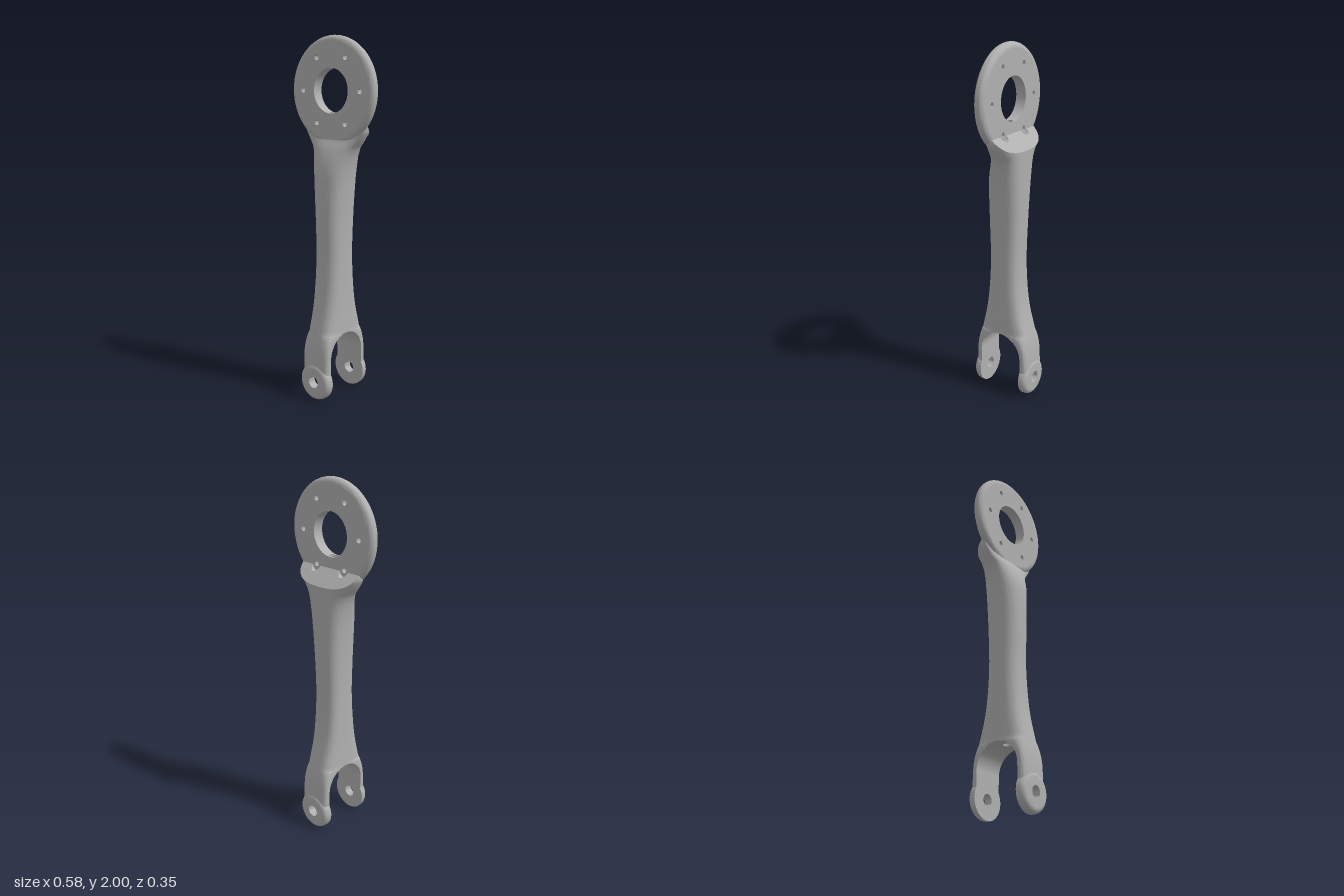
import * as THREE from 'three';
import { mergeGeometries, toCreasedNormals } from 'three/addons/utils/BufferGeometryUtils.js';

const V = (x, y) => new THREE.Vector2(x, y);
const BORE = 0.12, HUB_Y = 1.71, ARCH = 0.13, ARCH_Y = 0.245, FOOT = 0.15, TOP = 1.53;

// Arm profile: height, half width, front depth, back depth, squareness
const PROFILE = [
  [0.15, 0.09, 0.173, 0.173, 4], [0.2, 0.091, 0.171, 0.171, 4], [0.3, 0.093, 0.162, 0.162, 4],
  [0.4, 0.093, 0.142, 0.142, 3.6], [0.5, 0.09, 0.121, 0.117, 3.2], [0.6, 0.088, 0.107, 0.101, 3],
  [0.8, 0.085, 0.096, 0.091, 2.7], [1.0, 0.088, 0.1, 0.097, 2.6], [1.2, 0.1, 0.101, 0.105, 2.5],
  [1.3, 0.112, 0.094, 0.109, 2.4], [1.4, 0.138, 0.06, 0.112, 2.3], [1.45, 0.176, 0.03, 0.113, 2.3],
  [1.5, 0.206, 0.012, 0.113, 2.3], [1.53, 0.207, 0.006, 0.113, 2.3],
];
const curve = new THREE.CubicInterpolant(PROFILE.map(r => r[0]), PROFILE.flatMap(r => r.slice(1)), 4);
const section = y => Array.from(curve.evaluate(Math.min(TOP, Math.max(FOOT, y))));
const power = (v, n) => Math.sign(v) * Math.pow(Math.abs(v), 2 / n);

// Surface through f(i, j) -> [x, y, z]
function grid(nu, nv, f) {
  const pos = [], idx = [];
  for (let j = 0; j <= nv; j++) for (let i = 0; i <= nu; i++) pos.push(...f(i, j));
  for (let j = 0; j < nv; j++) for (let i = 0; i < nu; i++) {
    const a = j * (nu + 1) + i, c = a + nu + 1;
    idx.push(a, a + 1, c, a + 1, c + 1, c);
  }
  const g = new THREE.BufferGeometry();
  g.setAttribute('position', new THREE.Float32BufferAttribute(pos, 3));
  g.setIndex(idx);
  g.computeVertexNormals();
  return g;
}

// Half of the arm (s = 1 front, -1 back); below the arch it becomes a fork leg
function armHalf(s) {
  const levels = [FOOT, 0.2];
  for (let k = 0; k <= 14; k++) levels.push(ARCH_Y + ARCH * Math.sin(k / 14 * Math.PI / 2));
  for (let y = 0.4; y < 1.4; y += 0.04) levels.push(y);
  for (let k = 0; k <= 10; k++) levels.push(1.4 + k * 0.013);
  return grid(36, levels.length - 1, (i, j) => {
    const y = levels[j], [w, front, back, n] = section(y), a = i / 36 * Math.PI;
    const q = s > 0 ? n : n + 0.5, depth = s > 0 ? front : back;
    const rise = Math.max(0, y - ARCH_Y);
    const inner = Math.sqrt(Math.max(0, ARCH * ARCH - rise * rise));
    const z = s * (inner + (depth - inner) * power(Math.sin(a), q));
    return [-s * w * power(Math.cos(a), q), Math.min(y, TOP + 0.03 + z), z];
  });
}

// Curved strip with a round hole at its middle
function stripWithHole(map, half, r, ranges) {
  const parts = ranges.map(([u0, u1]) =>
    grid(1, 48, (i, j) => map(half * (2 * i - 1), u0 + (u1 - u0) * j / 48)));
  parts.push(grid(4, 32, (i, j) => {
    const a = j / 32 * Math.PI * 2, c = Math.cos(a), s = Math.sin(a);
    const d = r + (half / Math.max(Math.abs(c), Math.abs(s)) - r) * i / 4;
    return map(d * c, d * s);
  }));
  return mergeGeometries(parts);
}

// Inward-facing round wall between two heights
const wall = (r, lo, hi) => new THREE.LatheGeometry([V(r, hi), V(r, lo)], 24);

export function createModel() {
  const model = new THREE.Group();
  const metal = new THREE.MeshStandardMaterial({ color: 0xb0b0b0, side: THREE.DoubleSide });
  metal.name = 'grey metal';
  const add = (name, geo, parent = model, crease = 0.6) => {
    const mesh = new THREE.Mesh(toCreasedNormals(geo, crease), metal);
    mesh.name = name;
    parent.add(mesh);
    return mesh;
  };

  // Arm and fork legs
  add('arm', mergeGeometries([armHalf(1), armHalf(-1)]));

  // Inside of the fork, with the channel opening
  const quarter = ARCH * Math.PI / 2, end = quarter + ARCH_Y - FOOT;
  const archMap = (x, u) => {
    const t = Math.min(1, Math.abs(u) / quarter) * Math.PI / 2;
    const y = ARCH_Y + ARCH * Math.cos(t) - Math.max(0, Math.abs(u) - quarter);
    return [x * section(y)[0] / 0.093, y, Math.sign(u) * ARCH * Math.sin(t)];
  };
  add('forkInside', stripWithHole(archMap, 0.093, 0.024, [[-end, -0.093], [0.093, end]]));

  // Lengthwise channel through the arm
  add('channel', wall(0.024, 0.374, HUB_Y - BORE));

  // Rounded pivot bosses at the fork ends
  const bossProfile = [V(0.033, 0), V(0.105, 0), V(0.105, 0.019)];
  for (let k = 1; k <= 8; k++) {
    const a = k / 8 * Math.PI / 2;
    bossProfile.push(V(0.077 + 0.028 * Math.cos(a), 0.019 + 0.028 * Math.sin(a)));
  }
  bossProfile.push(V(0.033, 0.047), V(0.033, 0));
  for (const [name, turn] of [['frontBoss', 0], ['backBoss', Math.PI]]) {
    const side = new THREE.Group();
    side.rotation.y = turn;
    const boss = add(name, new THREE.LatheGeometry(bossProfile, 48).rotateX(Math.PI / 2), side);
    boss.position.set(0, 0.105, 0.13);
    model.add(side);
  }

  // Mounting flange
  const flange = new THREE.Group();
  flange.name = 'flange';
  flange.position.y = HUB_Y;
  model.add(flange);
  const face = new THREE.Shape().absarc(0, 0, 0.26, 0, Math.PI * 2);
  const cut = (x, y, r) => face.holes.push(new THREE.Path().absarc(x, y, r, 0, Math.PI * 2, true));
  cut(0, 0, BORE);
  for (let k = 0; k < 6; k++) {
    const x = 0.2 * Math.cos(k * Math.PI / 3), y = 0.2 * Math.sin(k * Math.PI / 3);
    cut(x, y, 0.014);
    add('boltHole', wall(0.014, -0.03, 0.03).rotateX(Math.PI / 2), flange).position.set(x, y, 0);
  }
  for (const s of [1, -1]) {
    const plate = add(s > 0 ? 'flangeFront' : 'flangeBack', new THREE.ShapeGeometry(face, 36), flange);
    plate.position.z = 0.03 * s;
    plate.rotation.y = s > 0 ? 0 : Math.PI;
  }
  const rim = [];
  for (let k = 0; k <= 12; k++) {
    const a = (k / 12 - 0.5) * Math.PI;
    rim.push(V(0.26 + 0.03 * Math.cos(a), 0.03 * Math.sin(a)));
  }
  add('flangeRim', new THREE.LatheGeometry(rim, 72).rotateX(Math.PI / 2), flange);
  const boreMap = (z, u) => [BORE * Math.sin(u / BORE), -BORE * Math.cos(u / BORE), z];
  add('flangeBore', stripWithHole(boreMap, 0.03, 0.024, [[0.03, BORE * Math.PI * 2 - 0.03]]), flange);

  // Sloped shoulder behind the flange, with a pocket round each lower bolt
  const [w, , depth, n] = section(TOP), outline = [], R = 0.028;
  for (let k = 0; k <= 72; k++) {
    const a = k / 72 * Math.PI, s = depth * power(Math.sin(a), n + 0.5) - 0.03;
    if (s > 0) outline.push(V(w * power(Math.cos(a), n + 0.5), s));
  }
  outline.unshift(V(w, 0));
  outline.push(V(-w, 0));
  for (const x of [-0.1, 0.1]) for (let k = 0; k <= 16; k++) {
    const a = Math.PI * (1 - k / 16);
    outline.push(V(x + R * Math.cos(a), R * Math.sin(a)));
  }
  const slope = new THREE.ShapeGeometry(new THREE.Shape(outline));
  const p = slope.attributes.position;
  for (let i = 0; i < p.count; i++) p.setXYZ(i, p.getX(i), TOP - p.getY(i), -0.03 - p.getY(i));
  slope.computeVertexNormals();
  add('shoulder', slope);
  for (const x of [-0.1, 0.1]) add('boltPocket', grid(16, 1, (i, j) => {
    const a = Math.PI * i / 16, s = R * Math.sin(a);
    return [x + R * Math.cos(a), TOP - s, -0.03 - s * j];
  }));

  return model;
}
